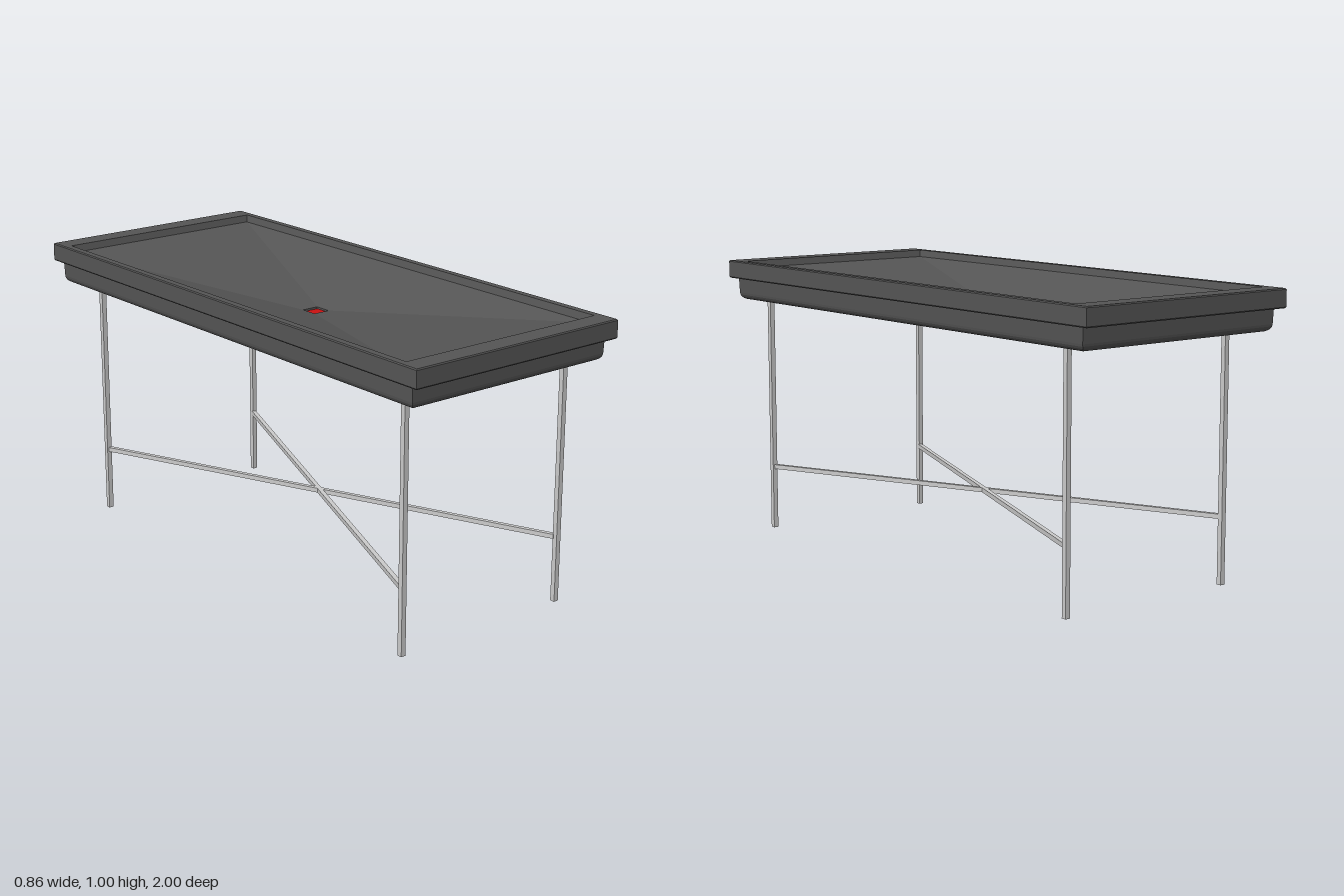
import * as THREE from 'three';

const steel = new THREE.MeshStandardMaterial({ color: 0xcccccc });
const dark = new THREE.MeshStandardMaterial({ color: 0x555555, flatShading: true });
const red = new THREE.MeshStandardMaterial({ color: 0xcc1111 });

// Skin a series of rectangular rings [halfX, halfZ, y] with flat faces
function loftRectangles(rings) {
  const corners = [[1, 1], [1, -1], [-1, -1], [-1, 1]];
  const point = ([hx, hz, y], j) => [corners[j % 4][0] * hx, y, corners[j % 4][1] * hz];
  const pos = [];
  for (let i = 0; i < rings.length - 1; i++) {
    for (let j = 0; j < 4; j++) {
      const a = point(rings[i], j), b = point(rings[i], j + 1);
      const c = point(rings[i + 1], j + 1), d = point(rings[i + 1], j);
      if (rings[i][0] > 0) pos.push(...a, ...b, ...c);
      pos.push(...a, ...c, ...d);
    }
  }
  const geometry = new THREE.BufferGeometry();
  geometry.setAttribute('position', new THREE.Float32BufferAttribute(pos, 3));
  geometry.computeVertexNormals();
  return geometry;
}

function add(parent, name, geometry, material, x = 0, y = 0, z = 0) {
  const mesh = new THREE.Mesh(geometry, material);
  mesh.name = name;
  mesh.position.set(x, y, z);
  parent.add(mesh);
  return mesh;
}

export function createModel() {
  const model = new THREE.Group();
  model.name = 'drainTable';

  // Tray: underside, curved lower edge, overhanging rim, floor sloping to the drain
  const rings = [[0, 0, 0.857]];
  const r = 0.025;
  for (let i = 0; i <= 5; i++) {
    const t = (i / 5) * Math.PI / 2;
    const inset = r * (1 - Math.sin(t));
    rings.push([0.408 - inset, 0.961 - inset, 0.857 + r * (1 - Math.cos(t))]);
  }
  rings.push(
    [0.41, 0.963, 0.935],
    [0.425, 0.997, 0.935], [0.428, 1, 0.939],
    [0.428, 1, 0.996], [0.425, 0.997, 1],
    [0.4, 0.922, 1], [0.393, 0.915, 0.975],
    [0.031, 0.031, 0.887], [0.031, 0.031, 0.874],
  );
  add(model, 'tray', loftRectangles(rings), dark);

  // Drain plate, a rounded square sunk in the floor
  const h = 0.031, c = 0.009;
  const plate = new THREE.Shape();
  plate.moveTo(-h + c, -h);
  plate.absarc(h - c, -h + c, c, -Math.PI / 2, 0);
  plate.absarc(h - c, h - c, c, 0, Math.PI / 2);
  plate.absarc(-h + c, h - c, c, Math.PI / 2, Math.PI);
  plate.absarc(-h + c, -h + c, c, Math.PI, Math.PI * 1.5);
  const plateGeometry = new THREE.ExtrudeGeometry(plate, { depth: 0.007, bevelEnabled: false, curveSegments: 4 });
  plateGeometry.rotateX(-Math.PI / 2);
  add(model, 'drain', plateGeometry, red, 0, 0.873, 0);

  // Square legs
  const w = 0.018, legX = 0.341, legZ = 0.835, midZ = 0.019, legH = 0.865;
  for (const sx of [1, -1]) {
    for (const sz of [1, -1]) {
      const name = (sz > 0 ? 'front' : 'back') + (sx > 0 ? 'Left' : 'Right') + 'Leg';
      add(model, name, new THREE.BoxGeometry(w, legH, w), steel, sx * legX, legH / 2, midZ + sz * legZ);
    }
  }

  // Crossed braces joining opposite legs
  const length = 2 * Math.hypot(legX, legZ) - w;
  for (const s of [1, -1]) {
    const brace = add(model, s > 0 ? 'braceA' : 'braceB', new THREE.BoxGeometry(0.016, 0.016, length), steel, 0, 0.232, midZ);
    brace.rotation.y = s * Math.atan2(legX, legZ);
  }
  return model;
}
